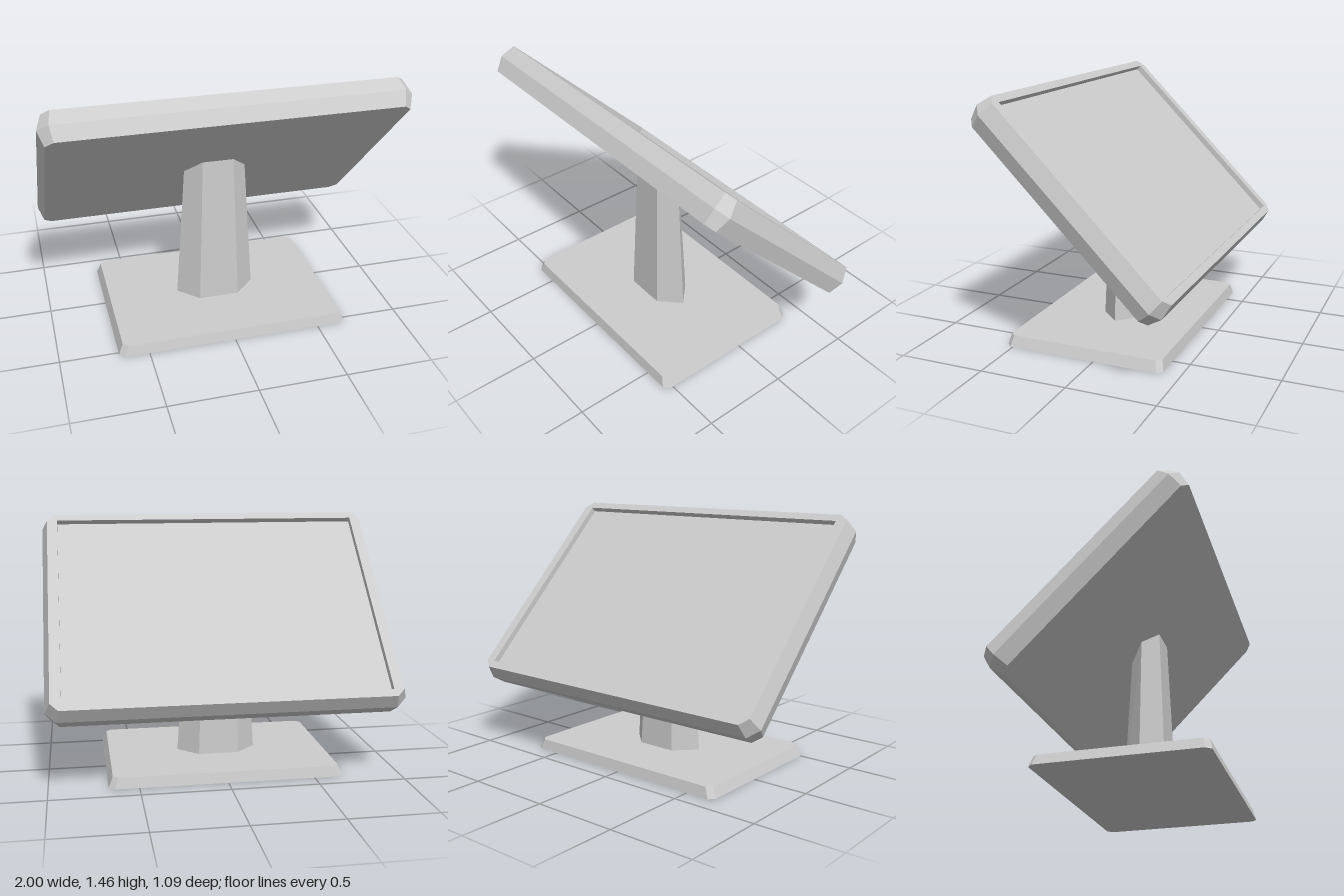
import * as THREE from 'three';

// Rectangle with cut corners at height y; corners run clockwise seen from above
function ring(hw, hd, c, y) {
  const w = hw - c, d = hd - c;
  return [[hw, -d], [hw, d], [w, hd], [-w, hd], [-hw, d], [-hw, -d], [-w, -hd], [w, -hd]]
    .map(([x, z]) => new THREE.Vector3(x, y, z));
}

// Skin a stack of rings, with optional flat caps
function loft(rings, capBottom = true, capTop = true) {
  const pos = [];
  const tri = (...pts) => pts.forEach((p) => pos.push(p.x, p.y, p.z));
  const n = rings[0].length;
  for (let r = 0; r < rings.length - 1; r++) {
    for (let i = 0; i < n; i++) {
      const j = (i + 1) % n, lo = rings[r], hi = rings[r + 1];
      tri(lo[i], hi[i], lo[j]);
      tri(lo[j], hi[i], hi[j]);
    }
  }
  const first = rings[0], last = rings[rings.length - 1];
  for (let i = 1; i < n - 1; i++) {
    if (capBottom) tri(first[0], first[i], first[i + 1]);
    if (capTop) tri(last[0], last[i + 1], last[i]);
  }
  const geo = new THREE.BufferGeometry();
  geo.setAttribute('position', new THREE.Float32BufferAttribute(pos, 3));
  geo.computeVertexNormals();
  return geo;
}

export function createModel() {
  const model = new THREE.Group();
  model.name = 'tiltedMonitor';
  const lightGrey = new THREE.MeshStandardMaterial({ color: 0xcccccc });
  lightGrey.name = 'light grey';

  const add = (parent, name, geo) => {
    const mesh = new THREE.Mesh(geo, lightGrey);
    mesh.name = name;
    parent.add(mesh);
    return mesh;
  };

  // Base plate with sloping sides
  const base = add(model, 'base', loft([ring(0.67, 0.472, 0.03, 0), ring(0.645, 0.458, 0.03, 0.06)]));
  base.position.z = 0.075;

  // Tapered hexagonal column, cut along the slope of the panel
  const hexagon = (w, m, d, top) =>
    [[w, 0], [m, d], [-m, d], [-w, 0], [-m, -d], [m, -d]].map(
      ([x, z]) => new THREE.Vector3(x, top ? 0.81 + 0.065 + z : 0.05, 0.065 + z));
  add(model, 'column', loft([hexagon(0.235, 0.118, 0.115, false), hexagon(0.18, 0.09, 0.083, true)]));

  // Panel, modelled flat with the display upwards and then tilted
  const panel = new THREE.Group();
  panel.name = 'panel';
  panel.position.set(0, 0.919, -0.007);
  panel.rotation.x = -Math.PI / 4;
  model.add(panel);

  // Housing: bevelled rim folding inwards to the recessed display
  add(panel, 'housing', loft([
    ring(0.97, 0.675, 0.045, -0.087),
    ring(1, 0.697, 0.06, 0),
    ring(0.97, 0.675, 0.045, 0.087),
    ring(0.91, 0.63, 0.002, 0.087),
    ring(0.91, 0.63, 0.002, 0.053),
  ], true, false));

  // Display surface
  const display = add(panel, 'display', new THREE.PlaneGeometry(1.82, 1.26));
  display.rotation.x = -Math.PI / 2;
  display.position.y = 0.053;

  return model;
}
